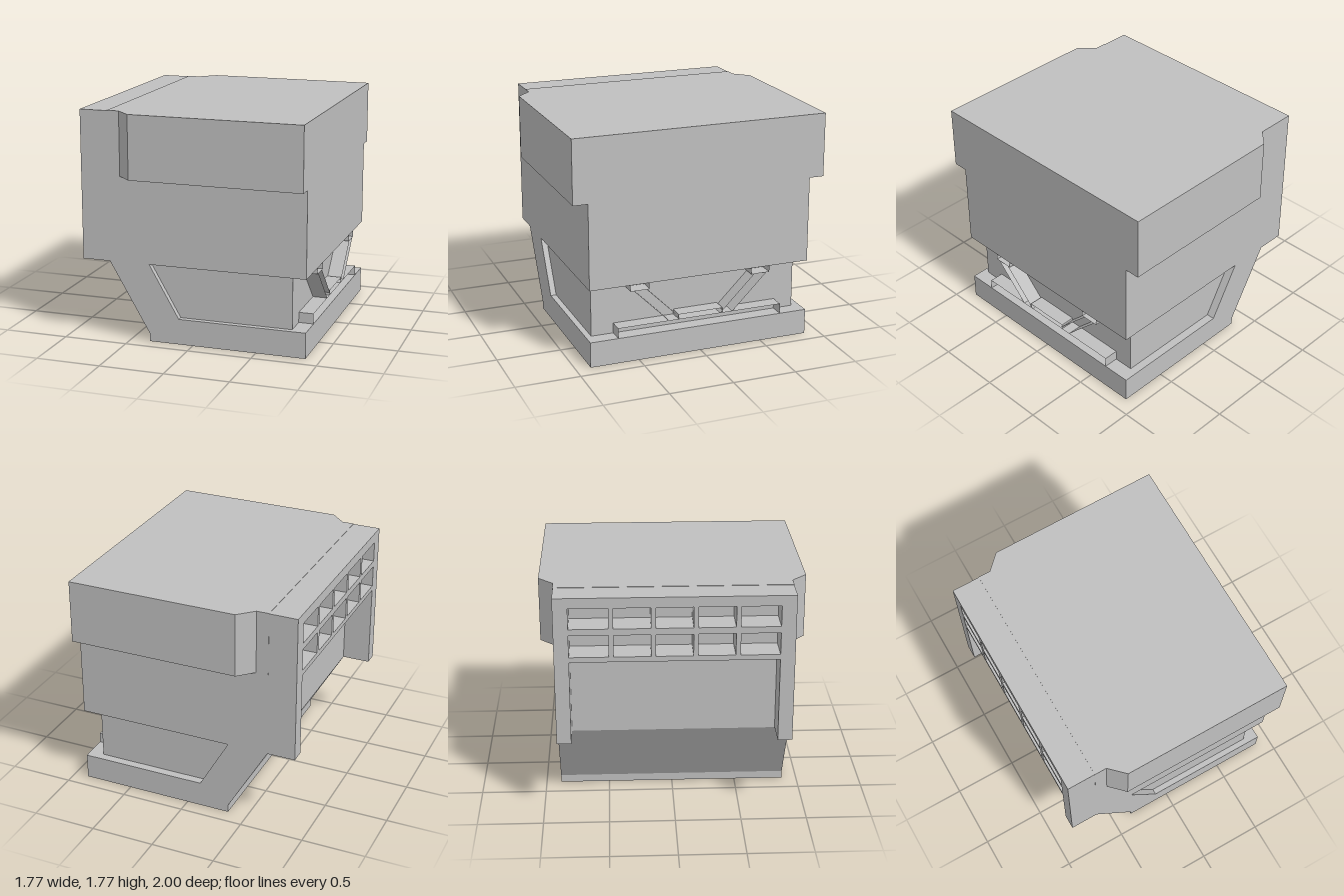
import * as THREE from 'three';

const grey = new THREE.MeshStandardMaterial({ color: 0xc0c0c0 });
grey.name = 'light grey';
const greySheet = new THREE.MeshStandardMaterial({ color: 0xc0c0c0, side: THREE.DoubleSide });
greySheet.name = 'light grey sheet';

const shapeOf = (pts) => new THREE.Shape(pts.map(([x, y]) => new THREE.Vector2(x, y)));

export function createModel() {
  const model = new THREE.Group();

  const add = (name, geometry, material = grey) => {
    const mesh = new THREE.Mesh(geometry, material);
    mesh.name = name;
    model.add(mesh);
    return mesh;
  };

  // Box given by its limits on each axis
  const box = (name, x0, x1, y0, y1, z0, z1) =>
    add(name, new THREE.BoxGeometry(x1 - x0, y1 - y0, z1 - z0))
      .position.set((x0 + x1) / 2, (y0 + y1) / 2, (z0 + z1) / 2);

  // Side profile extruded between two z values
  const slab = (name, pts, z0, z1) => {
    const g = new THREE.ExtrudeGeometry(shapeOf(pts), { depth: z1 - z0, bevelEnabled: false });
    add(name, g.translate(0, 0, z0));
  };

  // Body: a core with a notch at +x, and side skins with a slanted recess
  const base = [[-0.345, 0], [0.885, 0], [0.885, 0.2]];
  const upper = [[0.885, 0.61], [0.885, 1.28], [-0.665, 1.28], [-0.665, 0.61], [-0.345, 0.06]];
  const core = [...base, [0.77, 0.2], [0.77, 0.61], ...upper];
  const skin = [...base, [-0.11, 0.2], [-0.345, 0.61], ...upper];
  slab('bodyCore', core, -0.82, 0.84);
  slab('leftSkin', skin, 0.84, 0.885);
  slab('rightSkin', skin, -0.885, -0.82);

  // Wide upper block with chamfered corners
  const plan = [
    [-0.665, -0.887], [-0.57, -0.887], [-0.455, -1], [0.885, -1],
    [0.885, 1], [-0.455, 1], [-0.57, 0.887], [-0.665, 0.887],
  ];
  const roof = new THREE.ExtrudeGeometry(shapeOf(plan), { depth: 0.495, bevelEnabled: false });
  add('upperBlock', roof.rotateX(-Math.PI / 2).translate(0, 1.278, 0));

  // Uprights at the -x end
  for (const [name, z0, z1] of [['uprightLeft', 0.775, 0.885], ['uprightRight', -0.885, -0.775]]) {
    box(name, -0.885, -0.665, 0.61, 1.77, z0, z1);
  }

  // Grille of five by two openings between the uprights
  for (const [y0, y1] of [[1.27, 1.31], [1.48, 1.53], [1.69, 1.77]]) {
    box('grilleRail', -0.885, -0.665, y0, y1, -0.775, 0.775);
  }
  for (let i = 1; i < 5; i++) {
    const z = -0.775 + i * 0.31;
    for (const [y0, y1] of [[1.31, 1.48], [1.53, 1.69]]) {
      box('grilleDivider', -0.885, -0.665, y0, y1, z - 0.018, z + 0.018);
    }
  }

  // Open-ended sleeve along x, leaning in z from z0 (bottom) to z1 (top)
  const sleeve = (name, y0, y1, z0, z1, width) => {
    const g = new THREE.BoxGeometry(0.115, y1 - y0, width);
    g.setIndex(Array.from(g.index.array).slice(12)); // drop both x ends
    g.clearGroups();
    const p = g.attributes.position;
    for (let i = 0; i < p.count; i++) {
      p.setZ(i, p.getZ(i) + (p.getY(i) < 0 ? z0 : z1));
    }
    g.translate(0.8275, (y0 + y1) / 2, 0);
    g.computeVertexNormals();
    add(name, g, greySheet);
  };

  // Linkage in the notch: floor bar, centre link, leaning arms and top pads
  sleeve('floorBar', 0.2, 0.28, 0, 0, 1.33);
  sleeve('centreLink', 0.28, 0.32, 0, 0, 0.36);
  for (const s of [-1, 1]) {
    sleeve('linkArm', 0.28, 0.56, s * 0.21, s * 0.49, 0.1);
    sleeve('topPad', 0.56, 0.61, s * 0.49, s * 0.49, 0.15);
  }

  return model;
}
